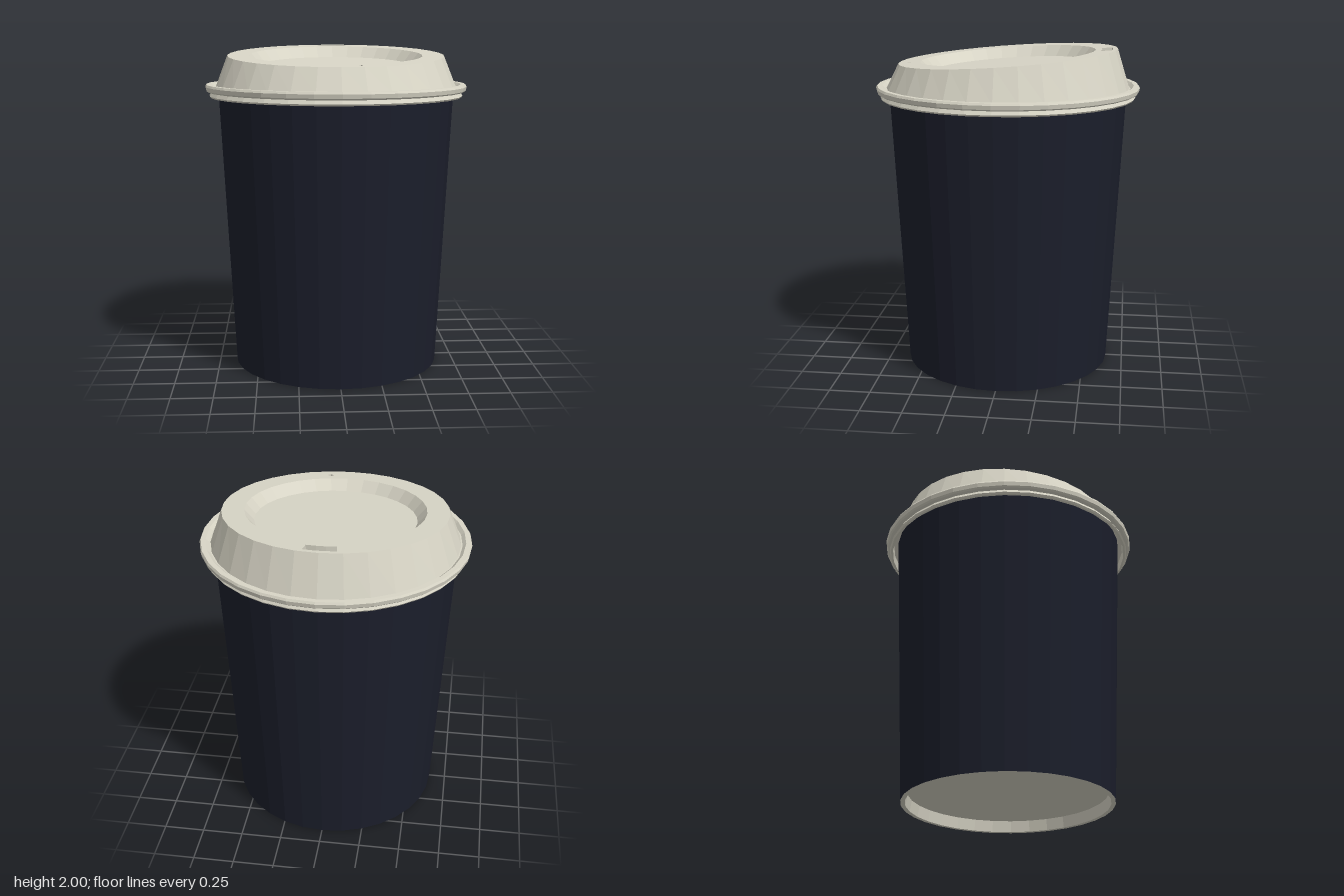
import * as THREE from 'three';

const SEGMENTS = 32;
const TOP_Y = 1.9525; // height of the lid top at its centre
const SLOPE = 0.0704; // the lid top rises towards the back

const lidMaterial = new THREE.MeshStandardMaterial({ color: 0xd8d5c6, flatShading: true, side: THREE.DoubleSide });
const paperMaterial = new THREE.MeshStandardMaterial({ color: 0xd8d5c6, flatShading: true });
const sleeveMaterial = new THREE.MeshStandardMaterial({ color: 0x1b1e2b, flatShading: true });

function lathe(points) {
  return new THREE.LatheGeometry(points.map(([r, y]) => new THREE.Vector2(r, y)), SEGMENTS);
}

// Tilts everything above the given height towards the back
function tilt(geometry, above = 1.8) {
  const p = geometry.attributes.position;
  for (let i = 0; i < p.count; i++) {
    if (p.getY(i) > above) p.setY(i, p.getY(i) - SLOPE * p.getZ(i));
  }
  geometry.computeVertexNormals();
  return geometry;
}

function circle(radius, count, cx = 0, cz = 0) {
  return Array.from({ length: count }, (_, i) => {
    const a = (i / count) * Math.PI * 2;
    return [cx + radius * Math.sin(a), cz + radius * Math.cos(a)];
  });
}

// Outlines are [x, z]; shapes are drawn in x, -z and then laid flat
const flat = (outline) => outline.map(([x, z]) => new THREE.Vector2(x, -z));

function plate(outline, holes, y) {
  const shape = new THREE.Shape(flat(outline));
  holes.forEach((h) => shape.holes.push(new THREE.Path(flat(h))));
  return tilt(new THREE.ShapeGeometry(shape).rotateX(-Math.PI / 2).translate(0, y, 0));
}

// Wall running down from a hole's edge
function pocketWall(outline, depth) {
  const positions = [];
  outline.forEach(([x0, z0], i) => {
    const [x1, z1] = outline[(i + 1) % outline.length];
    const a = [x0, TOP_Y, z0], b = [x1, TOP_Y, z1];
    const c = [x1, TOP_Y - depth, z1], d = [x0, TOP_Y - depth, z0];
    positions.push(...a, ...b, ...c, ...a, ...c, ...d);
  });
  const geometry = new THREE.BufferGeometry();
  geometry.setAttribute('position', new THREE.Float32BufferAttribute(positions, 3));
  return tilt(geometry);
}

export function createModel() {
  const model = new THREE.Group();
  const add = (parent, name, geometry, material) => {
    const mesh = new THREE.Mesh(geometry, material);
    mesh.name = name;
    parent.add(mesh);
  };

  // Cup: tapered sleeve, with a raised paper base inside the foot
  const cup = new THREE.Group();
  cup.name = 'cup';
  model.add(cup);
  add(cup, 'cupWall', lathe([[0.645, 0], [0.735, 1.76]]), sleeveMaterial);
  add(cup, 'cupBase', lathe([[0, 0.07], [0.607, 0.07], [0.618, 0], [0.645, 0]]), paperMaterial);

  // Lid: skirt, rolled rim, groove and sloping side
  const lid = new THREE.Group();
  lid.name = 'lid';
  model.add(lid);
  add(lid, 'lidSide', tilt(lathe([
    [0.735, 1.75], [0.762, 1.74], [0.768, 1.695],
    [0.782, 1.695], [0.79, 1.705], [0.778, 1.727],
    [0.8, 1.73], [0.81, 1.738], [0.815, 1.762], [0.808, 1.775],
    [0.778, 1.775], [0.758, 1.757], [0.75, 1.757],
    [0.675, TOP_Y],
  ])), lidMaterial);

  // Drinking slot follows the curve of the rim at the back
  const slotArc = (radius, half) => [-1, -0.33, 0.33, 1].map((t) => {
    const x = half * t;
    return [x, -Math.sqrt(radius * radius - x * x)];
  });
  const slot = [...slotArc(0.58, 0.085), ...slotArc(0.645, 0.096).reverse()];
  const vent = circle(0.019, 4, 0.117, 0.59);
  const recess = circle(0.54, SEGMENTS);

  add(lid, 'lidTop', plate(circle(0.675, SEGMENTS), [recess, slot, vent], TOP_Y), lidMaterial);
  add(lid, 'lidRecess', tilt(lathe([[0.54, TOP_Y], [0.485, TOP_Y - 0.065], [0, TOP_Y - 0.065]])), lidMaterial);

  // Slot and vent pockets
  [['drinkSlot', slot, 0.03], ['airVent', vent, 0.02]].forEach(([name, outline, depth]) => {
    add(lid, name + 'Wall', pocketWall(outline, depth), lidMaterial);
    add(lid, name + 'Floor', plate(outline, [], TOP_Y - depth), lidMaterial);
  });

  return model;
}
